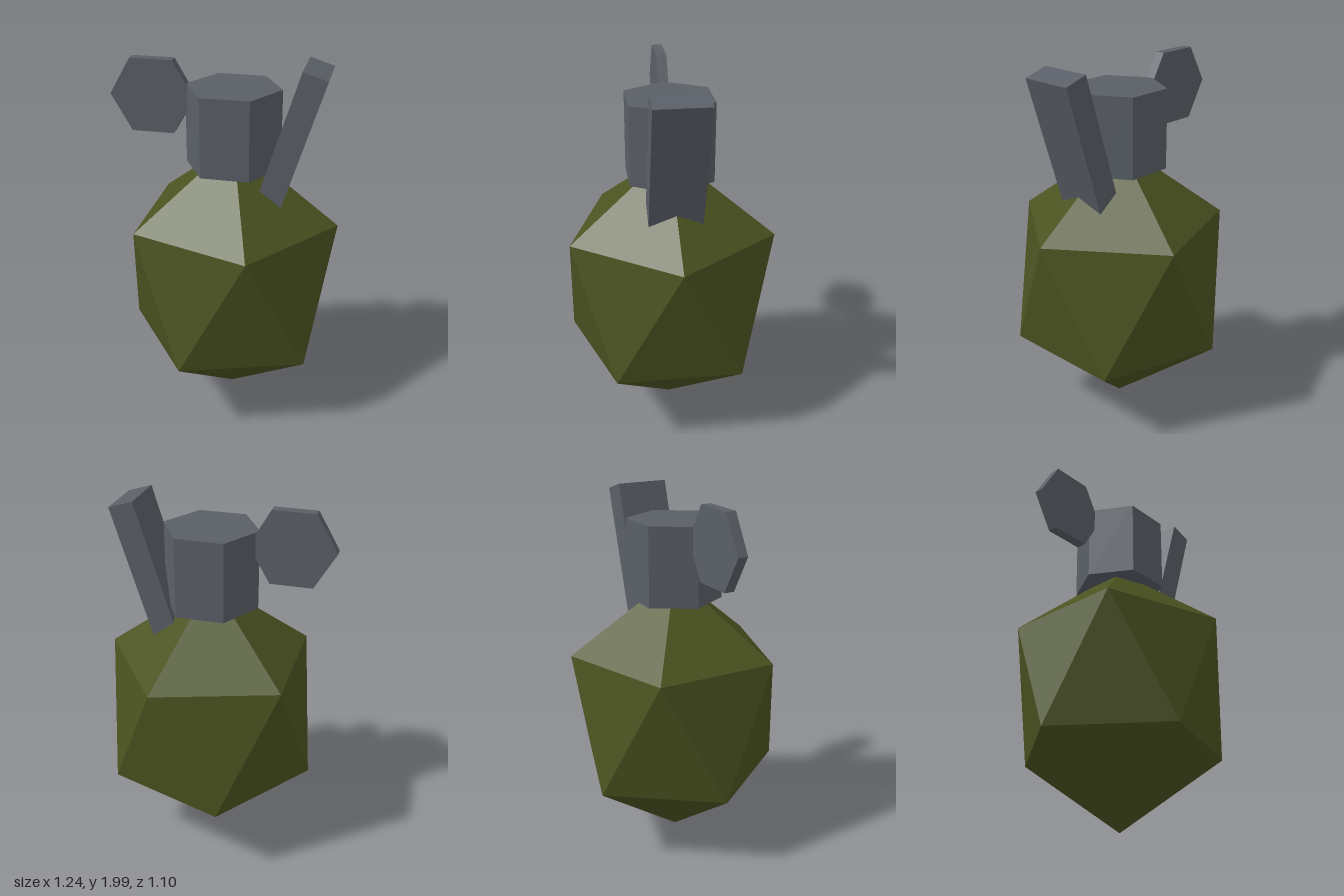
import * as THREE from 'three';

export function createModel() {
  const model = new THREE.Group();
  const material = (name, color) => {
    const m = new THREE.MeshStandardMaterial({ color, flatShading: true });
    m.name = name;
    return m;
  };
  const olive = material('olive green', 0x4b5320);
  const steel = material('steel grey', 0x5a5f67);

  const add = (name, geometry, mat, x, y, z = 0) => {
    const mesh = new THREE.Mesh(geometry, mat);
    mesh.name = name;
    mesh.position.set(x, y, z);
    model.add(mesh);
    return mesh;
  };

  // Faceted body: an icosahedron turned to stand on a corner, stretched upward
  const golden = (1 + Math.sqrt(5)) / 2;
  const bodyShape = new THREE.IcosahedronGeometry(0.645, 0)
    .rotateZ(-Math.atan(1 / golden))
    .scale(1, 1.2, 1);
  add('body', bodyShape, olive, 0.04, 0.78);

  // Six-sided neck with corners on the x axis
  const neckShape = new THREE.CylinderGeometry(0.257, 0.257, 0.43, 6).rotateY(Math.PI / 6);
  add('neck', neckShape, steel, 0.04, 1.645);

  // Thin six-sided pull disc, facing front
  const discShape = new THREE.CylinderGeometry(0.228, 0.228, 0.055, 6)
    .rotateY(Math.PI / 6)
    .rotateX(Math.PI / 2);
  add('pullDisc', discShape, steel, -0.393, 1.788);

  // Leaning lever, its lower end sunk into the body
  const tilt = 0.3;
  const length = 0.8;
  const leverShape = new THREE.BoxGeometry(0.136, length, 0.286);
  const lever = add('lever', leverShape, steel,
    0.475 - Math.sin(tilt) * length / 2, 1.98 - Math.cos(tilt) * length / 2);
  lever.rotation.z = -tilt;

  return model;
}
